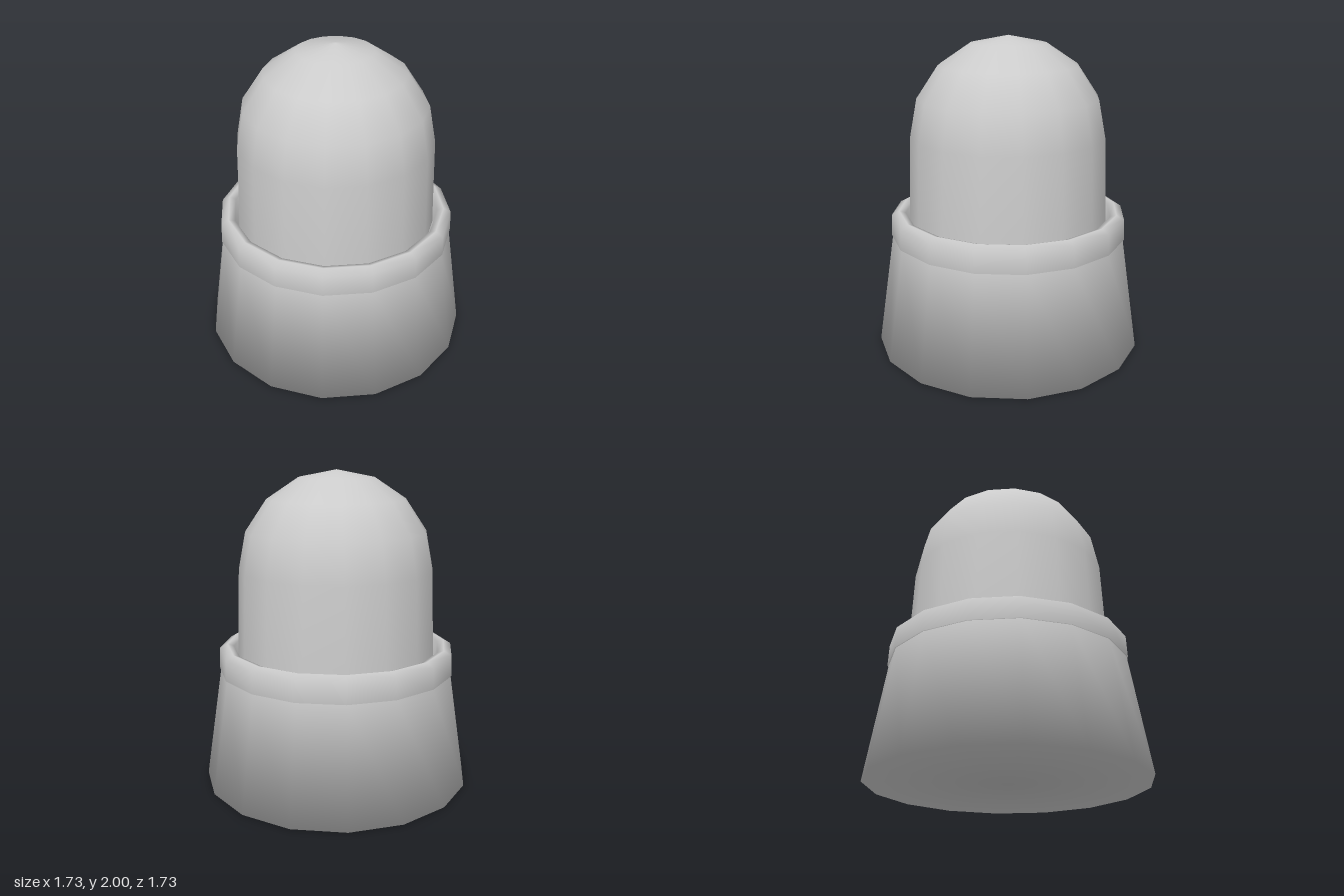
import * as THREE from 'three';

const SIDES = 16;

export function createModel() {
  const model = new THREE.Group();
  const material = new THREE.MeshStandardMaterial({ color: 0xcccccc, side: THREE.DoubleSide });

  // Turns a profile of [radius, height] points, listed from the bottom up on the outside
  function addTurned(name, profile) {
    const points = profile.map(([r, y]) => new THREE.Vector2(r, y));
    const mesh = new THREE.Mesh(new THREE.LatheGeometry(points, SIDES), material);
    mesh.name = name;
    model.add(mesh);
  }

  // Tapered base, closed underneath and softly shaded over its lower rim
  addTurned('base', [[0, 0], [0.867, 0], [0.753, 0.74]]);

  // Rolled collar with a narrow groove between it and the dome
  addTurned('collar', [
    [0.745, 0.735], [0.762, 0.735], [0.757, 0.868], [0.708, 0.895], [0.667, 0.88], [0.655, 0.79], [0.63, 0.78],
  ]);

  // Bullet-shaped dome rising from inside the collar
  addTurned('dome', [
    [0.643, 0.78], [0.638, 0.9], [0.62, 1.38], [0.573, 1.62], [0.438, 1.82], [0.238, 1.953], [0, 2],
  ]);

  return model;
}
